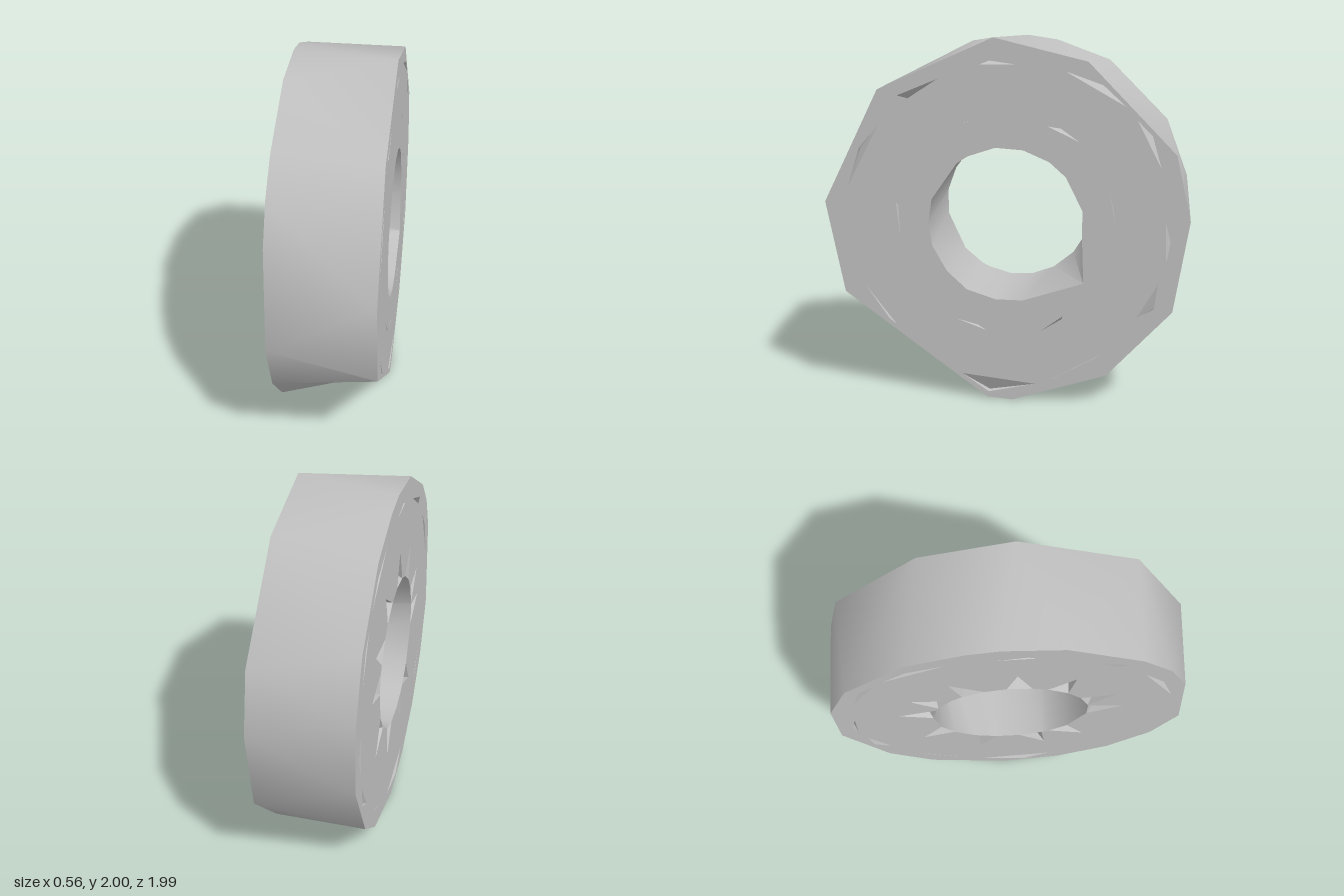
import * as THREE from 'three';
import { toCreasedNormals } from 'three/addons/utils/BufferGeometryUtils.js';

const HALF = 0.28; // half the ring's width along x

// Rims and slits as [z, height above the axle]
const RIM_LEFT = [[1, .1], [.69, .72], [.06, 1], [-.44, .88], [-.91, .4], [-.99, .05],
  [-.91, -.45], [-.56, -.83], [-.04, -1], [.1, -.99], [.9, -.41]];
const RIM_RIGHT = [[.92, .35], [.82, .56], [.66, .73], [.27, .95], [-.05, .985], [-.22, .96],
  [-.52, .85], [-.85, .52], [-.97, .2], [-.97, -.22], [-.74, -.66], [-.49, -.87],
  [-.04, -1], [.3, -.95], [.6, -.79], [.84, -.53], [.97, -.22]];
const BORE_LEFT = [[.42, 0], [.4, .13], [.26, .33], [.2, .37], [.05, .42], [-.1, .41], [-.24, .35],
  [-.33, .27], [-.42, .09], [-.42, -.06], [-.43, -.31], [-.1, -.42], [.05, -.42],
  [.21, -.37], [.32, -.27], [.4, -.13]];
const OUTER_SLITS = [
  [[.13, .86], [.08, .88], [-.07, .86]],
  [[.58, .69], [.53, .67], [.36, .78]],
  [[.87, .18], [.8, .4], [.69, .53]],
  [[-.32, .83], [-.52, .76], [-.64, .65]],
  [[-.7, .58], [-.78, .5], [-.83, .33]],
  [[-.86, .05], [-.89, -.07], [-.87, -.18]],
  [[-.83, -.3], [-.81, -.44], [-.72, -.49]],
  [[-.56, -.69], [-.5, -.73], [-.24, -.88]],
  [[.24, -.86], [.09, -.96], [-.17, -.9]],
  [[.79, -.36], [.65, -.56], [.61, -.59]],
];
const INNER_SLITS = [
  [[.28, .54], [.1, .575], [-.01, .6]],
  [[-.23, .54], [-.3, .53], [-.4, .46]],
  [[.6, .11], [.585, .09], [.58, -.08]],
  [[-.56, .21], [-.585, .1], [-.6, 0]],
  [[.27, -.54], [.15, -.57], [.1, -.6]],
  [[-.32, -.5], [-.31, -.53], [-.2, -.59]],
  [[.51, -.32], [.4, -.45], [.33, -.51]],
];
const NOTCH_ANGLES = [0, 20, 54, 84, 118, 147, 170, 212, 250, 286, 310];

const polar = (deg, r) => {
  const a = THREE.MathUtils.degToRad(deg);
  return [r * Math.cos(a), r * Math.sin(a)];
};
const at = (x, [z, h]) => [x, h + 1, z];

function fromTriangles(tris) {
  const geo = new THREE.BufferGeometry();
  geo.setAttribute('position', new THREE.Float32BufferAttribute(tris.flat(2), 3));
  geo.computeVertexNormals();
  return geo;
}

// Stitches two rims with different corner counts into one wall
function wall(left, right, inward) {
  const prepare = (pts) => {
    const list = pts.map((p) => ({ p, a: (Math.atan2(p[1], p[0]) + Math.PI * 2) % (Math.PI * 2) }));
    list.sort((s, t) => s.a - t.a);
    list.push({ p: list[0].p, a: list[0].a + Math.PI * 2 });
    return list;
  };
  const L = prepare(left), R = prepare(right), tris = [];
  let i = 0, j = 0;
  while (i < L.length - 1 || j < R.length - 1) {
    const stepLeft = j === R.length - 1 || (i < L.length - 1 && L[i + 1].a < R[j + 1].a);
    const l = at(HALF, L[i].p), r = at(-HALF, R[j].p);
    const next = stepLeft ? at(HALF, L[++i].p) : at(-HALF, R[++j].p);
    tris.push(inward ? [l, r, next] : [r, l, next]);
  }
  return toCreasedNormals(fromTriangles(tris), 0.7);
}

// Flat ring face with cut-outs, turned to face +x or -x
function face(side, rim, holes) {
  const toVectors = (pts) => pts.map((p) => new THREE.Vector2(...p));
  const shape = new THREE.Shape(toVectors(rim));
  shape.holes = holes.map((h) => new THREE.Path(toVectors(h)));
  const geo = new THREE.ShapeGeometry(shape).toNonIndexed();
  const p = geo.attributes.position, tris = [];
  for (let i = 0; i < p.count; i += 3) {
    const t = [0, 1, 2].map((k) => at(side * HALF, [p.getX(i + k), p.getY(i + k)]));
    tris.push(side > 0 ? t.reverse() : t);
  }
  return fromTriangles(tris);
}

// Sloped floors that close the slits
function slitFloors(side, slits) {
  return fromTriangles(slits.map(([a, b, c]) => {
    const t = [at(side * HALF, a), at(side * (HALF - .04), b), at(side * HALF, c)];
    const turn = (b[0] - a[0]) * (c[1] - a[1]) - (b[1] - a[1]) * (c[0] - a[0]);
    return turn * side > 0 ? t.reverse() : t;
  }));
}

export function createModel() {
  const group = new THREE.Group();
  const steel = new THREE.MeshStandardMaterial({ color: 0xc0c0c0, side: THREE.DoubleSide });
  steel.name = 'steel grey';
  const add = (name, geo) => {
    const mesh = new THREE.Mesh(geo, steel);
    mesh.name = name;
    group.add(mesh);
  };

  // Jagged notches around the bore on the right face
  const boreRight = [], pockets = [];
  for (const deg of NOTCH_ANGLES) {
    const b1 = polar(deg - 9, .43), b2 = polar(deg + 9, .43), tip = polar(deg + 3, .62);
    boreRight.push(b1, b2);
    const deep = at(-HALF + .09, polar(deg - 2, .5));
    const [p1, p2, p3] = [b1, b2, tip].map((p) => at(-HALF, p));
    pockets.push([p1, p2, deep], [p2, p3, deep], [p3, p1, deep]);
  }
  const starRim = NOTCH_ANGLES.flatMap((deg) =>
    [polar(deg - 9, .43), polar(deg + 3, .62), polar(deg + 9, .43)]);

  // Outer and inner walls
  add('outerWall', wall(RIM_LEFT, RIM_RIGHT, false));
  add('boreWall', wall(BORE_LEFT, boreRight, true));

  // Side faces and their slits
  const leftSlits = [...OUTER_SLITS, ...INNER_SLITS];
  add('leftFace', face(1, RIM_LEFT, [BORE_LEFT, ...leftSlits]));
  add('rightFace', face(-1, RIM_RIGHT, [starRim, ...OUTER_SLITS]));
  add('leftSlitFloors', slitFloors(1, leftSlits));
  add('rightSlitFloors', slitFloors(-1, OUTER_SLITS));
  add('borePockets', fromTriangles(pockets));
  return group;
}
